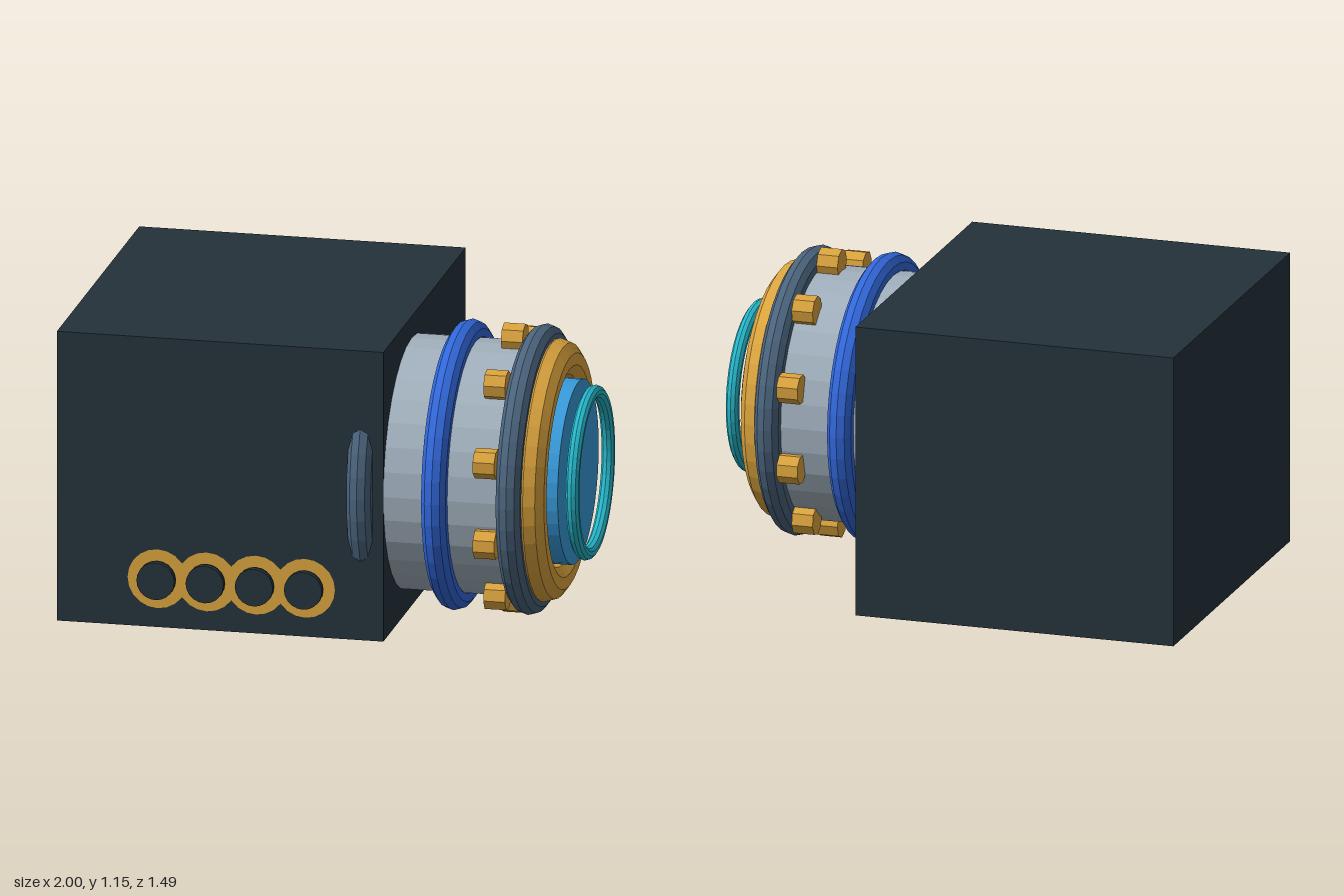
import * as THREE from 'three';

const mat = (name, color) => {
  const m = new THREE.MeshStandardMaterial({ color });
  m.name = name;
  return m;
};

// Unshared vertices give every facet its own flat normal
const faceted = (geo) => {
  const g = geo.index ? geo.toNonIndexed() : geo;
  g.computeVertexNormals();
  return g;
};

export function createModel() {
  const dark = mat('charcoal', 0x25313a);
  const silver = mat('silver', 0xa0afbc);
  const gold = mat('gold', 0xd9a23d);
  const blue = mat('royalBlue', 0x3166d8);
  const sky = mat('skyBlue', 0x3799d8);
  const cyan = mat('cyan', 0x25b5c8);
  const slate = mat('slate', 0x4a637c);

  const model = new THREE.Group();
  const add = (parent, name, geo, material, x = 0, y = 0, z = 0) => {
    const mesh = new THREE.Mesh(geo, material);
    mesh.name = name;
    mesh.position.set(x, y, z);
    parent.add(mesh);
    return mesh;
  };

  // Main housing
  add(model, 'housing', new THREE.BoxGeometry(1.275, 1.15, 1.425), dark, -0.3625, 0.575, -0.0375);

  // Barrel assembly: local z runs along the model's +x
  const barrel = new THREE.Group();
  barrel.name = 'barrelAssembly';
  barrel.position.set(0, 0.575, 0.185);
  barrel.rotation.y = Math.PI / 2;
  model.add(barrel);

  const drum = (name, r, from, to, sides, material) => add(barrel, name,
    faceted(new THREE.CylinderGeometry(r, r, to - from, sides).rotateX(Math.PI / 2)),
    material, 0, 0, (from + to) / 2);
  const hoop = (name, r, tube, at, material) => add(barrel, name,
    faceted(new THREE.TorusGeometry(r, tube, 10, 40)), material, 0, 0, at);

  drum('barrel', 0.49, 0.1, 0.82, 32, silver);
  hoop('rearHoop', 0.507, 0.05, 0.185, slate);
  hoop('middleHoop', 0.507, 0.05, 0.477, blue);
  hoop('frontHoop', 0.507, 0.05, 0.768, slate);
  hoop('goldCollar', 0.43, 0.075, 0.822, gold);
  drum('lens', 0.356, 0.8, 0.925, 40, sky);
  hoop('lensRing', 0.31, 0.026, 0.973, cyan);

  // Studs around the barrel
  const studGeo = faceted(new THREE.CylinderGeometry(0.058, 0.058, 0.084, 8).rotateX(Math.PI / 2));
  for (let i = 0; i < 10; i++) {
    const a = Math.PI / 2 + (i / 10) * Math.PI * 2;
    const stud = add(barrel, 'stud', studGeo, gold, Math.cos(a) * 0.517, Math.sin(a) * 0.517, 0.678);
    stud.rotation.z = a;
  }

  // Row of buttons with flat gold surrounds
  const surroundGeo = new THREE.RingGeometry(0.072, 0.117, 20);
  const buttonGeo = faceted(new THREE.CylinderGeometry(0.074, 0.074, 0.026, 20).rotateX(Math.PI / 2));
  for (let i = 0; i < 4; i++) {
    const x = -0.606 + i * 0.192;
    add(model, 'buttonSurround', surroundGeo, gold, x, 0.193, 0.679);
    add(model, 'button', buttonGeo, dark, x, 0.193, 0.704);
  }
  return model;
}
